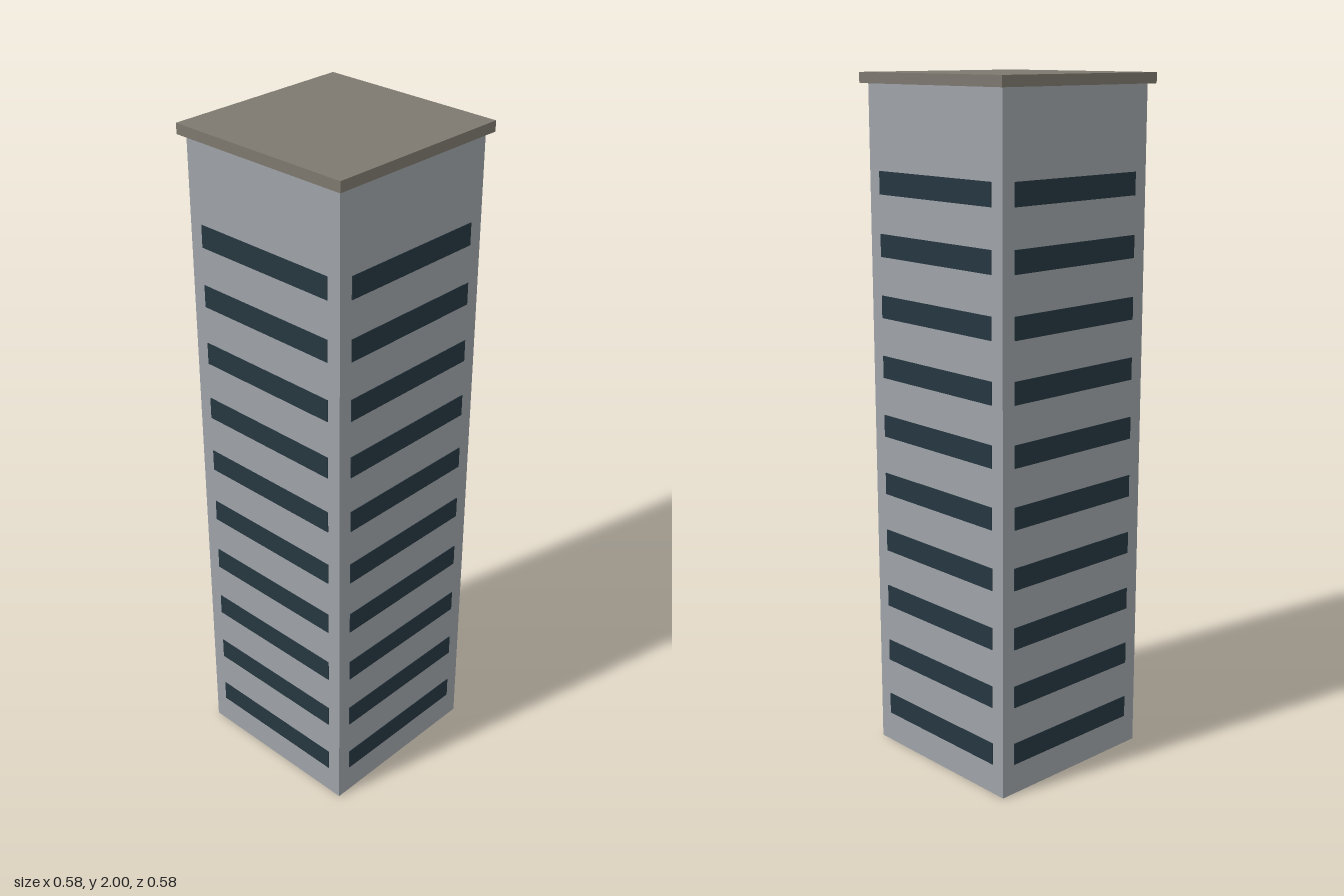
import * as THREE from 'three';

export function createModel() {
  const tower = new THREE.Group();
  tower.name = 'tower';
  const wall = new THREE.MeshStandardMaterial({ color: 0x9ea3a8 });
  const glass = new THREE.MeshStandardMaterial({ color: 0x263640 });
  const roofing = new THREE.MeshStandardMaterial({ color: 0x7d786f });

  const addBox = (parent, name, material, [w, h, d], [x, y, z]) => {
    const mesh = new THREE.Mesh(new THREE.BoxGeometry(w, h, d), material);
    mesh.name = name;
    mesh.position.set(x, y, z);
    parent.add(mesh);
  };

  const WIDTH = 0.545, BODY_HEIGHT = 1.97, FLOORS = 10;

  // Main block and overhanging roof slab
  addBox(tower, 'body', wall, [WIDTH, BODY_HEIGHT, WIDTH], [0, BODY_HEIGHT / 2, 0]);
  addBox(tower, 'roof', roofing, [0.58, 0.03, 0.58], [0, 1.985, 0]);

  // One window band per floor on each of the four sides, standing slightly proud
  ['front', 'left', 'back', 'right'].forEach((side, i) => {
    const facade = new THREE.Group();
    facade.name = `${side}Windows`;
    facade.rotation.y = i * Math.PI / 2;
    for (let floor = 0; floor < FLOORS; floor++) {
      addBox(facade, 'windowBand', glass, [0.46, 0.065, 0.01],
        [0, 0.123 + floor * 0.1752, WIDTH / 2 - 0.003]);
    }
    tower.add(facade);
  });

  return tower;
}
